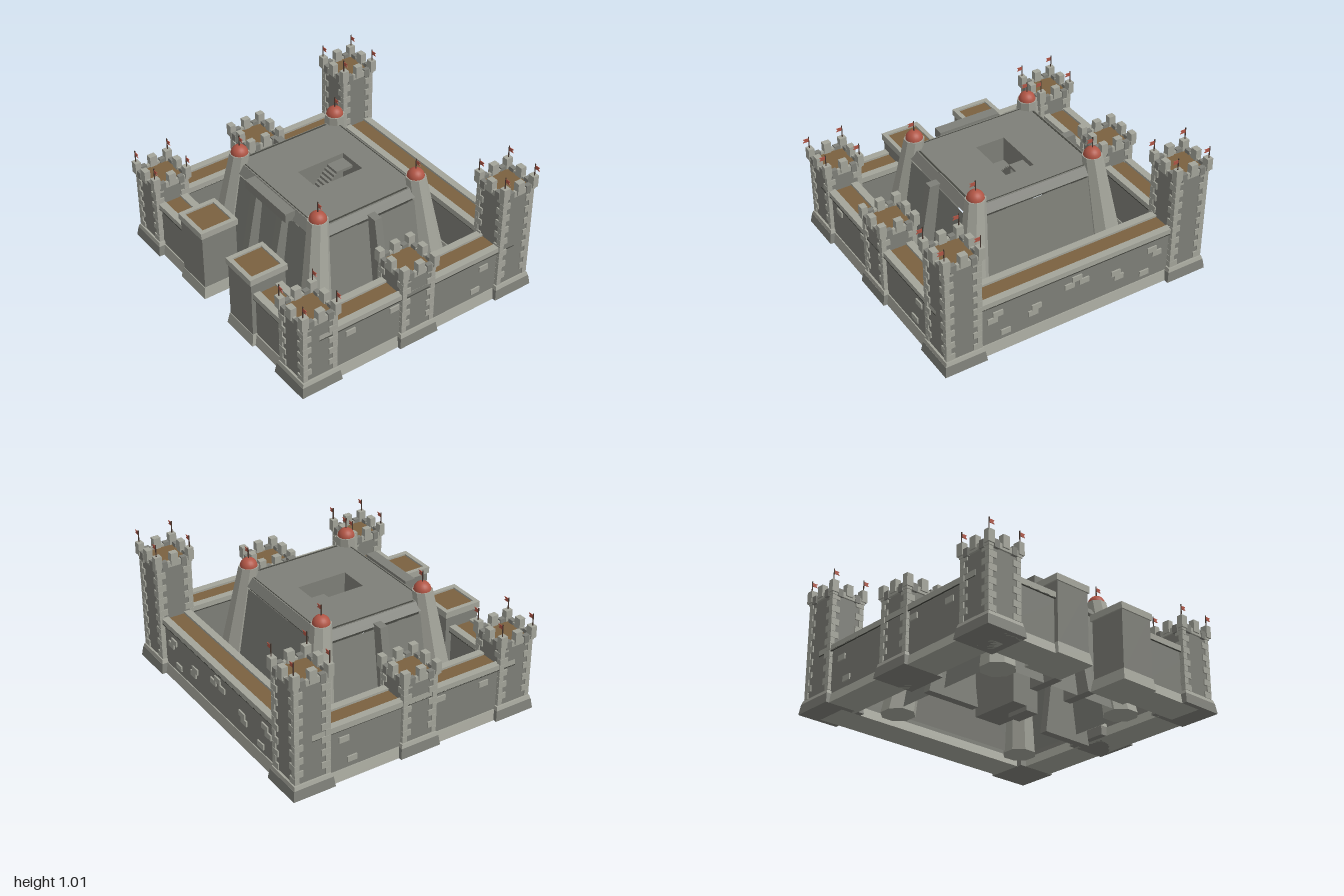
import * as THREE from 'three';

const mat = (color) => new THREE.MeshStandardMaterial({ color, flatShading: true, side: THREE.DoubleSide });
const STONE = mat(0x7e7f78), TRIM = mat(0xa3a49a), WOOD = mat(0x7b6140), RED = mat(0xb05545), DARK = mat(0x454640), POLE = mat(0x4a3a32);

function add(parent, name, geo, material, x = 0, y = 0, z = 0) {
  const m = new THREE.Mesh(geo, material);
  m.name = name;
  m.position.set(x, y, z);
  parent.add(m);
  return m;
}

function group(parent, name, x = 0, z = 0, turn = 0) {
  const g = new THREE.Group();
  g.name = name;
  g.position.set(x, 0, z);
  g.rotation.y = turn;
  parent.add(g);
  return g;
}

// box given by its limits
function block(parent, name, material, x0, x1, y0, y1, z0, z1) {
  return add(parent, name, new THREE.BoxGeometry(x1 - x0, y1 - y0, z1 - z0), material,
    (x0 + x1) / 2, (y0 + y1) / 2, (z0 + z1) / 2);
}

// box whose top differs from its bottom (half sizes); open leaves out top and bottom
function taper(parent, name, material, y0, y1, bx, bz, tx, tz, open = false) {
  const g = new THREE.BoxGeometry(2, y1 - y0, 2);
  const p = g.attributes.position;
  for (let i = 0; i < p.count; i++) {
    const top = p.getY(i) > 0;
    p.setX(i, p.getX(i) * (top ? tx : bx));
    p.setZ(i, p.getZ(i) * (top ? tz : bz));
  }
  if (open) {
    const idx = Array.from(g.index.array);
    idx.splice(12, 12);
    g.setIndex(idx);
  }
  g.computeVertexNormals();
  return add(parent, name, g, material, 0, (y0 + y1) / 2, 0);
}

// pole with a swallow-tailed flag flying towards +z
function flag(parent, x, y, z, h) {
  const g = group(parent, 'flag', x, z);
  add(g, 'pole', new THREE.CylinderGeometry(0.004, 0.004, h, 6), POLE, 0, y + h / 2, 0);
  const s = new THREE.Shape([[0, 0], [0.042, 0], [0.03, 0.012], [0.042, 0.025], [0, 0.025]].map((a) => new THREE.Vector2(...a)));
  const cloth = new THREE.ExtrudeGeometry(s, { depth: 0.004, bevelEnabled: false }).rotateY(-Math.PI / 2);
  add(g, 'pennant', cloth, RED, 0.002, y + h - 0.035, 0);
}

// square tower with quoins and battlements
function tower(parent, name, x, z, top, flags) {
  const g = group(parent, name, x, z);
  taper(g, 'plinth', STONE, 0.05, 0.12, 0.15, 0.15, 0.14, 0.14);
  taper(g, 'plinthTop', TRIM, 0.115, 0.145, 0.14, 0.14, 0.132, 0.132);
  const deck = top - 0.085;
  taper(g, 'body', STONE, 0.14, deck, 0.118, 0.118, 0.118, 0.118);
  block(g, 'deck', WOOD, -0.107, 0.107, deck, deck + 0.008, -0.107, 0.107);
  const rows = Math.round((deck - 0.15) / 0.045), rh = (deck - 0.15) / rows;
  for (const sx of [-1, 1]) for (const sz of [-1, 1]) {
    for (let i = 0; i < rows; i++) {
      const a = i % 2 ? 0.062 : 0.034, b = i % 2 ? 0.034 : 0.062;
      add(g, 'quoin', new THREE.BoxGeometry(a, rh * 0.96, b), TRIM,
        sx * (0.127 - a / 2), 0.15 + (i + 0.5) * rh, sz * (0.127 - b / 2));
    }
    if (flags) flag(g, sx * 0.122, top - 0.01, sz * 0.122, 0.095);
  }
  // parapet and merlons on all four sides
  for (let k = 0; k < 4; k++) {
    const side = group(g, 'battlement', 0, 0, k * Math.PI / 2);
    block(side, 'parapet', TRIM, -0.132, 0.132, deck - 0.015, deck + 0.025, 0.107, 0.132);
    block(side, 'cornerMerlon', TRIM, -0.142, -0.092, deck, top, 0.1, 0.142);
    block(side, 'returnMerlon', TRIM, 0.1, 0.142, deck, top, 0.092, 0.142);
    block(side, 'middleMerlon', TRIM, -0.026, 0.026, deck, top, 0.1, 0.142);
    for (const s of [-1, 1]) block(side, 'lowStone', STONE, s * 0.07 - 0.02, s * 0.07 + 0.02, deck - 0.02, deck + 0.035, 0.104, 0.137);
  }
}

// curtain wall: local x points outwards, local z runs along it
function wall(parent, name, x, z, turn, len, bricks = []) {
  const g = group(parent, name, x, z, turn);
  const L = len / 2;
  taper(g, 'plinth', TRIM, 0.05, 0.12, 0.115, L, 0.097, L);
  block(g, 'body', STONE, -0.09, 0.09, 0.1, 0.44, -L, L);
  block(g, 'walkway', WOOD, -0.058, 0.058, 0.43, 0.445, -L, L);
  for (const s of [-1, 1]) {
    block(g, 'coping', TRIM, s * 0.083 - 0.025, s * 0.083 + 0.025, 0.42, 0.46, -L, L);
    block(g, 'copingEdge', DARK, s * 0.104 - 0.004, s * 0.104 + 0.004, 0.416, 0.424, -L, L);
  }
  for (const [t, y] of bricks) block(g, 'brick', TRIM, 0.08, 0.1, y - 0.02, y + 0.02, t - 0.035, t + 0.035);
}

// sloping buttress from a (reach, height) profile pointing along +z
function buttress(parent, name, x, z, turn, points, width) {
  const s = new THREE.Shape(points.map((a) => new THREE.Vector2(...a)));
  const geo = new THREE.ExtrudeGeometry(s, { depth: width, bevelEnabled: false });
  geo.translate(0, 0, -width / 2).rotateY(-Math.PI / 2);
  add(group(parent, name, x, z, turn), 'fin', geo, STONE);
}

function keep(parent) {
  const g = group(parent, 'keep', -0.018, -0.015);
  taper(g, 'keepWalls', STONE, 0.05, 0.7, 0.505, 0.572, 0.42, 0.487, true);
  taper(g, 'recess', DARK, 0.695, 0.725, 0.41, 0.475, 0.41, 0.475, true);
  taper(g, 'roofRim', STONE, 0.72, 0.775, 0.428, 0.49, 0.392, 0.452, true);

  // roof with the stairwell opening
  const hole = { x0: -0.152, x1: 0.208, z0: -0.105, z1: 0.105 };
  const rect = (c, x0, x1, y0, y1) => c.moveTo(x0, y0).lineTo(x1, y0).lineTo(x1, y1).lineTo(x0, y1).closePath();
  const roof = rect(new THREE.Shape(), -0.392, 0.392, -0.452, 0.452);
  roof.holes.push(rect(new THREE.Path(), hole.x0, hole.x1, -hole.z1, -hole.z0));
  add(g, 'roof', new THREE.ExtrudeGeometry(roof, { depth: 0.02, bevelEnabled: false }).rotateX(-Math.PI / 2), STONE, 0, 0.757, 0);
  for (const s of [-1, 1]) {
    block(g, 'roofGroove', DARK, -0.31, 0.31, 0.77, 0.779, s * 0.438 - 0.006, s * 0.438 + 0.006);
    block(g, 'roofGroove', DARK, s * 0.38 - 0.003, s * 0.38 + 0.003, 0.77, 0.779, -0.38, 0.38);
  }

  // stairwell with two flights
  const shaft = taper(g, 'stairShaft', STONE, 0.06, 0.77, 0.18, 0.105, 0.18, 0.105, true);
  shaft.position.x = 0.028;
  block(g, 'shaftFloor', STONE, hole.x0, hole.x1, 0.06, 0.08, hole.z0, hole.z1);
  block(g, 'shaftFoot', STONE, hole.x0, 0.02, 0.03, 0.07, 0.01, 0.105);
  block(g, 'landing', STONE, hole.x0, -0.04, 0.58, 0.6, hole.z0, hole.z1);
  block(g, 'lowerFloor', STONE, -0.04, hole.x1, 0.43, 0.45, 0, hole.z1);
  block(g, 'upperLanding', STONE, 0.1, hole.x1, 0.72, 0.74, hole.z0, 0);
  for (let i = 0; i < 7; i++) {
    const x = -0.04 + i * 0.02;
    block(g, 'upperStep', STONE, x, x + 0.02, 0.57, 0.62 + i * 0.02, hole.z0, 0);
    block(g, 'lowerStep', STONE, x, x + 0.02, 0.43, 0.58 - i * 0.02, 0, hole.z1);
  }

  // leaning octagonal corner turrets with domes
  for (const sx of [-1, 1]) for (const sz of [-1, 1]) {
    const t = group(g, 'cornerTurret', sx * 0.382, sz * 0.435);
    const geo = new THREE.CylinderGeometry(0.068, 0.116, 0.8, 8).rotateY(Math.PI / 8);
    const p = geo.attributes.position;
    for (let i = 0; i < p.count; i++) {
      const lean = 0.095 * (0.5 - p.getY(i) / 0.8);
      p.setX(i, p.getX(i) + sx * lean);
      p.setZ(i, p.getZ(i) + sz * lean);
    }
    geo.computeVertexNormals();
    add(t, 'shaft', geo, TRIM, 0, 0.44, 0);
    const dome = new THREE.SphereGeometry(0.058, 20, 8, 0, Math.PI * 2, 0, Math.PI / 2);
    const red = new THREE.MeshStandardMaterial({ color: 0xb05545 });
    add(t, 'dome', dome, red, 0, 0.838, 0);
    flag(t, 0, 0.88, 0, 0.09);
  }

  // buttresses front and back, and either side of the entrance
  const long = [[0.295, 0], [0.69, 0], [0.553, 0.74], [0.4, 0.74]];
  buttress(g, 'frontButtress', -0.005, 0, 0, long, 0.056);
  buttress(g, 'backButtress', -0.005, 0, Math.PI, long, 0.056);
  const short = [[0.38, 0.05], [0.6, 0.05], [0.47, 0.72], [0.39, 0.72]];
  for (const z of [-0.145, 0.145]) buttress(g, 'gateButtress', 0, z, -Math.PI / 2, short, 0.06);
  block(g, 'entranceHood', STONE, -0.48, -0.405, 0.72, 0.785, -0.225, 0.225);
}

// plain flat-topped gate tower
function gatehouse(parent, z) {
  const g = group(parent, 'gatehouse', -0.757, z);
  taper(g, 'plinth', TRIM, 0.05, 0.13, 0.145, 0.145, 0.132, 0.132);
  taper(g, 'body', STONE, 0.12, 0.56, 0.128, 0.128, 0.128, 0.128);
  for (let k = 0; k < 4; k++) {
    const side = group(g, 'rim', 0, 0, k * Math.PI / 2);
    block(side, 'rimStone', TRIM, -0.138, 0.138, 0.535, 0.58, 0.107, 0.138);
  }
  block(g, 'deck', WOOD, -0.107, 0.107, 0.555, 0.568, -0.107, 0.107);
}

export function createModel() {
  const model = new THREE.Group();
  model.name = 'castle';
  const H = Math.PI / 2;

  const few = [[-0.525, 0.355], [-0.19, 0.365], [0.53, 0.34], [0.47, 0.18]];
  const many = [[0, 0.36]];
  for (const s of [-1, 1]) for (const [t, y] of [[0.055, 0.32], [0.3, 0.27], [0.325, 0.23], [0.58, 0.34], [0.62, 0.3], [0.525, 0.175]]) many.push([s * t, y]);
  wall(model, 'frontWall', 0, 0.835, -H, 1.53, few.map(([t, y]) => [-t, y]));
  wall(model, 'backWall', 0, -0.86, H, 1.53, few);
  wall(model, 'leftWall', 0.768, -0.01, 0, 1.67, many);
  wall(model, 'rightWall', -0.765, 0.58, Math.PI, 0.5);
  wall(model, 'rightWall', -0.765, -0.6, Math.PI, 0.5);

  for (const z of [0.825, -0.848]) {
    tower(model, 'tallTower', 0.765, z, 0.93, true);
    tower(model, 'lowTower', -0.765, z, 0.67, true);
    tower(model, 'middleTower', -0.018, z, 0.67, false);
  }
  gatehouse(model, 0.267);
  gatehouse(model, -0.292);
  keep(model);
  return model;
}
